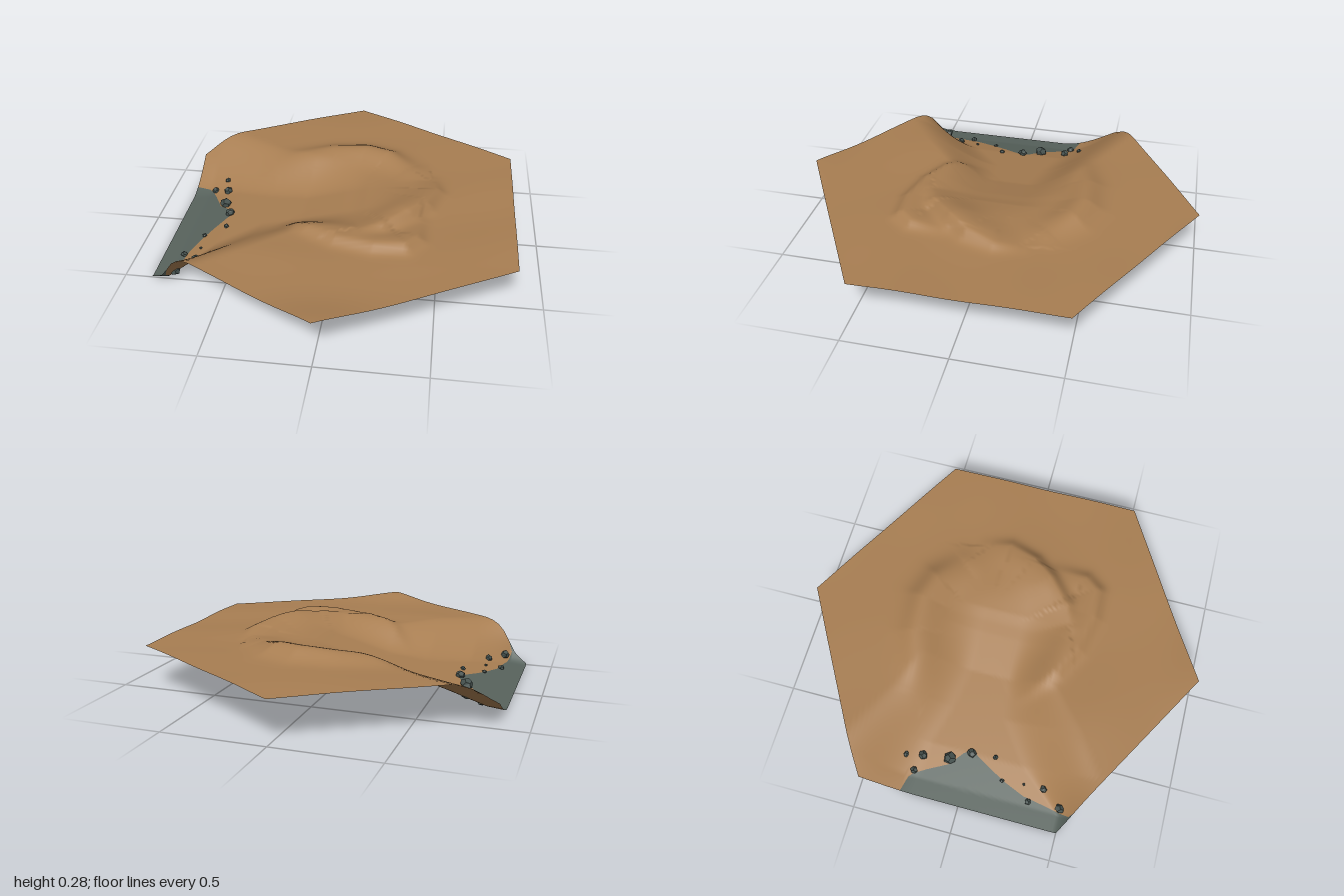
import * as THREE from 'three';

const { lerp, smoothstep } = THREE.MathUtils;

// Piecewise linear lookup in rows of [key, value, value, ...]
function lookup(rows, key, column) {
  if (key <= rows[0][0]) return rows[0][column];
  for (let i = 1; i < rows.length; i++) {
    const a = rows[i - 1], b = rows[i];
    if (key <= b[0]) return lerp(a[column], b[column], (key - a[0]) / (b[0] - a[0]));
  }
  return rows[rows.length - 1][column];
}

// Valley running west: x, floor height, north rim, north foot, south foot, south rim
const VALLEY = [
  [-0.87, 0.0, -0.78, -0.2, 0.48, 0.68],
  [-0.78, 0.01, -0.68, -0.22, 0.48, 0.68],
  [-0.6, 0.058, -0.58, -0.2, 0.25, 0.66],
  [-0.4, 0.09, -0.47, -0.14, 0.1, 0.52],
  [-0.2, 0.122, -0.38, -0.1, 0.08, 0.34],
  [0.0, 0.178, -0.34, -0.1, 0.08, 0.32],
  [0.12, 0.207, -0.34, -0.1, 0.08, 0.32],
  [0.45, 0.24, -0.3, -0.08, 0.05, 0.25],
];

// Crest lines: points are x, z, height; steep on one side, gentle on the other
const RIDGES = [
  { steep: 0.045, gentle: 0.12, points: [[-0.3, 0.12, 0.0], [-0.23, 0.2, 0.02], [-0.12, 0.3, 0.032], [0.02, 0.375, 0.037], [0.2, 0.415, 0.04], [0.34, 0.405, 0.04], [0.39, 0.34, 0.034], [0.4, 0.2, 0.012]] },
  { steep: 0.045, gentle: 0.13, points: [[0.12, 0.31, 0.012], [0.22, 0.27, 0.042], [0.34, 0.16, 0.052], [0.42, 0.06, 0.048], [0.47, -0.08, 0.03], [0.45, -0.2, 0.008]] },
  { steep: 0.08, gentle: 0.1, points: [[0.32, -0.3, 0.02], [0.2, -0.4, 0.052], [0.08, -0.44, 0.054], [-0.1, -0.43, 0.042], [-0.26, -0.38, 0.024], [-0.4, -0.33, 0.005]] },
];

function ridgeHeight(x, z, { steep, gentle, points }) {
  let best = Infinity, height = 0, side = 0;
  for (let i = 1; i < points.length; i++) {
    const [ax, az, ah] = points[i - 1], [bx, bz, bh] = points[i];
    const dx = bx - ax, dz = bz - az;
    const t = THREE.MathUtils.clamp(((x - ax) * dx + (z - az) * dz) / (dx * dx + dz * dz), 0, 1);
    const d = Math.hypot(x - ax - dx * t, z - az - dz * t);
    if (d < best) {
      best = d;
      height = lerp(ah, bh, t);
      side = dx * (z - az) - dz * (x - ax);
    }
  }
  const width = side > 0 ? steep : gentle;
  return height * Math.exp(-((best / width) ** 2));
}

const hump = (x, z, cx, cz, rx, rz) => Math.exp(-(((x - cx) / rx) ** 2) - ((z - cz) / rz) ** 2);

function heightAt(x, z) {
  let top = 0.216 + 0.003 * Math.sin(7 * x + 2 * z) * Math.cos(6 * z - x) + 0.002 * Math.sin(13 * z + 5 * x);
  top += 0.026 * hump(x, z, 0, 1.02, 0.35, 0.17) - 0.006 * hump(x, z, 0, -1, 0.4, 0.2);
  top += 0.012 * hump(x, z, 0.25, 0.05, 0.25, 0.3) + 0.008 * hump(x, z, -0.3, 0.52, 0.25, 0.12);
  const rise = RIDGES.reduce((sum, r) => sum + ridgeHeight(x, z, r), 0);
  const floor = lookup(VALLEY, x, 1);
  const north = smoothstep(z, lookup(VALLEY, x, 2), lookup(VALLEY, x, 3));
  const south = 1 - smoothstep(z, lookup(VALLEY, x, 4), lookup(VALLEY, x, 5));
  const cut = north * south * (1 - smoothstep(x, 0.05, 0.3));
  return Math.max(0, lerp(top, floor, cut) + rise * (1 - 0.6 * cut));
}

// Hexagonal outline and the shore of the wet ground: z, x
const hexHalfWidth = z => 0.866 * Math.max(0, Math.min(1, 2 * (1 - Math.abs(z))));
const SHORE = [
  [-0.3, -0.866], [-0.28, -0.79], [-0.26, -0.765], [-0.2, -0.73], [-0.1, -0.68], [-0.04, -0.61], [0, -0.585],
  [0.04, -0.61], [0.12, -0.655], [0.2, -0.695], [0.3, -0.735], [0.42, -0.755], [0.56, -0.785],
];
const westEdge = z => -hexHalfWidth(z);
const shoreEdge = z => (z < -0.3 || z > 0.56 ? westEdge(z) : Math.max(westEdge(z), lookup(SHORE, z, 1)));

// Terrain sheet filled between two edges, with normals taken from the slope
function sheet(left, right, z0, z1, rows, cols) {
  const position = [], normal = [], index = [];
  const n = new THREE.Vector3(), e = 0.008;
  for (let i = 0; i <= rows; i++) {
    const z = lerp(z0, z1, i / rows);
    for (let j = 0; j <= cols; j++) {
      const x = lerp(left(z), right(z), j / cols);
      position.push(x, heightAt(x, z), z);
      n.set(heightAt(x - e, z) - heightAt(x + e, z), 2 * e, heightAt(x, z - e) - heightAt(x, z + e)).normalize();
      normal.push(n.x, n.y, n.z);
      if (i < rows && j < cols) {
        const a = i * (cols + 1) + j, b = a + cols + 1;
        index.push(a, b, a + 1, a + 1, b, b + 1);
      }
    }
  }
  const geometry = new THREE.BufferGeometry();
  geometry.setAttribute('position', new THREE.Float32BufferAttribute(position, 3));
  geometry.setAttribute('normal', new THREE.Float32BufferAttribute(normal, 3));
  geometry.setIndex(index);
  return geometry;
}

// Rocks along the shore: x, z, radius
const ROCKS = [
  [-0.75, -0.26, 0.02], [-0.69, -0.315, 0.015], [-0.67, -0.235, 0.024], [-0.65, -0.1, 0.034],
  [-0.6, 0, 0.025], [-0.59, 0.12, 0.014], [-0.69, 0.18, 0.012], [-0.68, 0.29, 0.008],
  [-0.755, 0.33, 0.017], [-0.68, 0.39, 0.02], [-0.75, 0.49, 0.027],
];

function rockGeometry(seed) {
  const geometry = new THREE.DodecahedronGeometry(1, 0);
  const p = geometry.attributes.position, v = new THREE.Vector3();
  for (let i = 0; i < p.count; i++) {
    v.fromBufferAttribute(p, i);
    v.multiplyScalar(1 + 0.14 * Math.sin(v.x * 5 + seed) * Math.cos(v.z * 4 - v.y * 3 + seed * 2));
    p.setXYZ(i, v.x, v.y, v.z);
  }
  geometry.computeVertexNormals();
  return geometry;
}

export function createModel() {
  const group = new THREE.Group();
  group.name = 'terrainTile';
  const earth = new THREE.MeshStandardMaterial({ name: 'earth', color: 0xa87e52, side: THREE.DoubleSide });
  const wetGround = new THREE.MeshStandardMaterial({ name: 'wetGround', color: 0x58635d, side: THREE.DoubleSide });
  const stone = new THREE.MeshStandardMaterial({ name: 'stone', color: 0x46524f, flatShading: true });

  const land = new THREE.Mesh(sheet(shoreEdge, hexHalfWidth, -1, 1, 100, 120), earth);
  land.name = 'land';
  const bed = new THREE.Mesh(sheet(westEdge, shoreEdge, -0.3, 0.56, 43, 16), wetGround);
  bed.name = 'waterBed';
  group.add(land, bed);

  const rocks = new THREE.Group();
  rocks.name = 'shoreRocks';
  ROCKS.forEach(([x, z, r], i) => {
    const rock = new THREE.Mesh(rockGeometry(i * 1.7), stone);
    rock.name = 'rock';
    rock.scale.set(r * 0.9, r * 0.85, r);
    rock.rotation.y = i * 1.3;
    rock.position.set(x, heightAt(x, z) + r * 0.35, z);
    rocks.add(rock);
  });
  group.add(rocks);
  return group;
}
